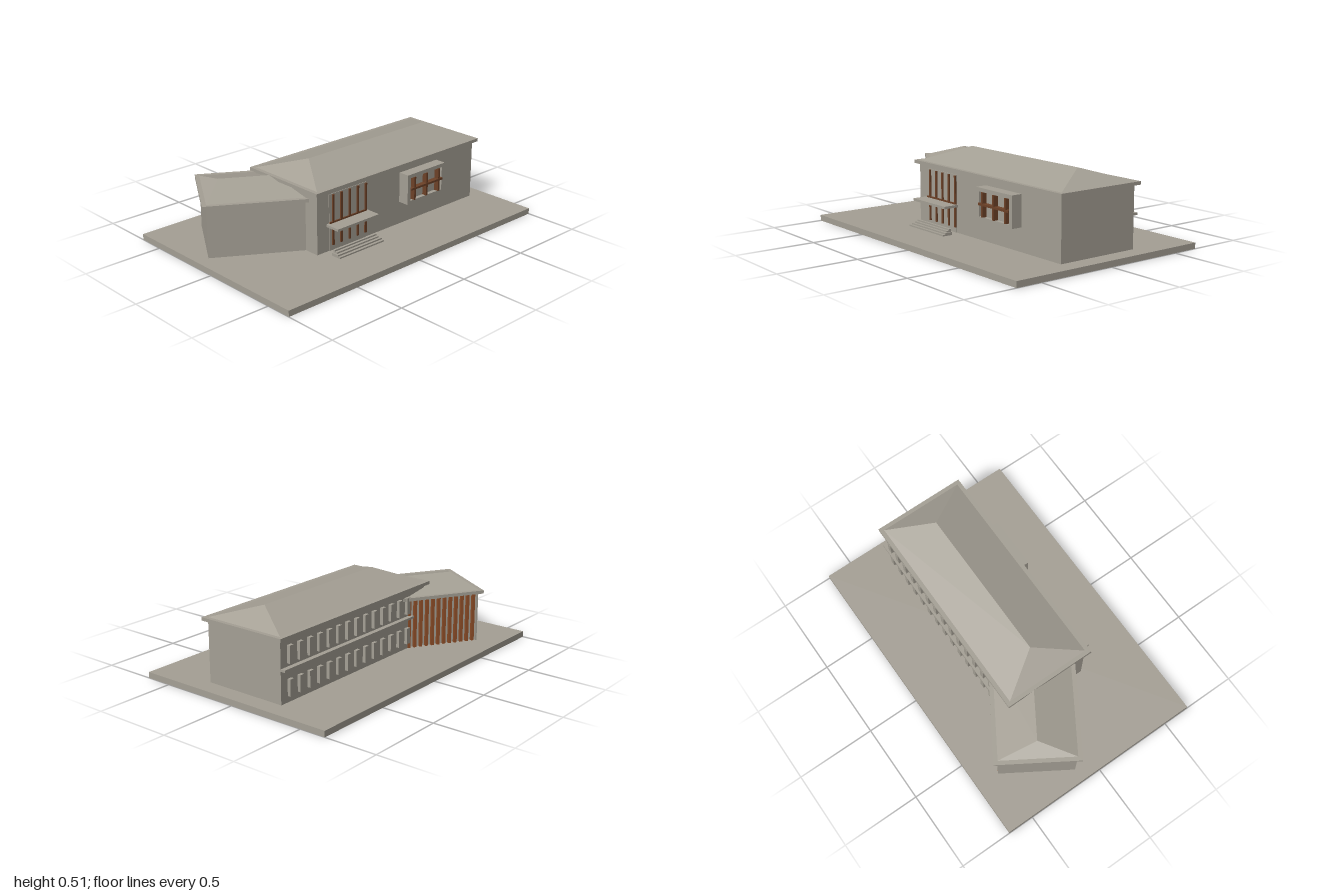
import * as THREE from 'three';

const mat = (name, color) => {
  const m = new THREE.MeshStandardMaterial({ color });
  m.name = name;
  return m;
};

// Box given by its min and max on each axis
function box(parent, name, material, [x0, x1], [y0, y1], [z0, z1]) {
  const mesh = new THREE.Mesh(new THREE.BoxGeometry(x1 - x0, y1 - y0, z1 - z0), material);
  mesh.position.set((x0 + x1) / 2, (y0 + y1) / 2, (z0 + z1) / 2);
  mesh.name = name;
  parent.add(mesh);
  return mesh;
}

// Hipped roof: rectangle x0..x1 by +-hz at y0, ridge r0..r1 at y1
function hipRoof(parent, name, material, x0, x1, hz, r0, r1, y0, y1) {
  const a = [x0, y0, hz], b = [x1, y0, hz], c = [x1, y0, -hz], d = [x0, y0, -hz];
  const e = [r0, y1, 0], f = [r1, y1, 0];
  const tris = [a, b, f, a, f, e, c, d, e, c, e, f, b, c, f, d, a, e];
  const geo = new THREE.BufferGeometry();
  geo.setAttribute('position', new THREE.Float32BufferAttribute(tris.flat(), 3));
  geo.computeVertexNormals();
  const mesh = new THREE.Mesh(geo, material);
  mesh.name = name;
  parent.add(mesh);
}

export function createModel() {
  const stone = mat('warm grey', 0xa5a095);
  const timber = mat('dark timber', 0x6e4228);
  const cedar = mat('cedar', 0x8f4e28);
  const model = new THREE.Group();
  model.name = 'building';
  const G = 0.037;

  box(model, 'groundSlab', stone, [-1, 1], [0, G], [-0.667, 0.667]);

  // Main block
  const main = new THREE.Group();
  main.name = 'mainBlock';
  model.add(main);
  box(main, 'mainWalls', stone, [-0.44, 0.89], [G, 0.41], [-0.27, 0.27]);
  box(main, 'mainEaves', stone, [-0.465, 0.915], [0.41, 0.43], [-0.295, 0.295]);
  hipRoof(main, 'mainRoof', stone, -0.44, 0.89, 0.27, -0.26, 0.715, 0.43, 0.513);

  // Two rows of rear pilasters with a ledge between the floors
  box(main, 'rearLedge', stone, [-0.3, 0.89], [0.232, 0.246], [-0.3, -0.27]);
  for (let i = 0; i < 14; i++) {
    const x = 0.82 - i * 0.083;
    for (const rows of [[0.075, 0.175], [0.265, 0.37]]) {
      box(main, 'rearPilaster', stone, [x - 0.016, x + 0.016], rows, [-0.29, -0.27]);
    }
  }

  // Entrance: timber posts, canopy and steps
  const entrance = new THREE.Group();
  entrance.name = 'entrance';
  model.add(entrance);
  box(entrance, 'entrancePanel', stone, [-0.35, -0.055], [G, 0.39], [0.27, 0.274]);
  for (let i = 0; i < 5; i++) {
    const x = -0.322 + i * 0.065;
    box(entrance, 'entrancePost', timber, [x - 0.007, x + 0.007], [0.07, 0.385], [0.27, 0.282]);
  }
  box(entrance, 'entranceRail', timber, [-0.35, -0.055], [0.21, 0.219], [0.27, 0.282]);
  box(entrance, 'canopy', stone, [-0.37, -0.043], [0.195, 0.21], [0.27, 0.37]);
  for (let i = 0; i < 4; i++) {
    const inset = i < 2 ? 0 : 0.01;
    box(entrance, 'step', stone, [-0.38 + inset, -0.025 - inset],
      [G + i * 0.009, G + (i + 1) * 0.009], [0.33, 0.395 - i * 0.017]);
  }

  // Projecting bay window
  const bay = new THREE.Group();
  bay.name = 'bayWindow';
  model.add(bay);
  const frame = new THREE.Shape();
  frame.moveTo(0.23, 0.18).lineTo(0.555, 0.18).lineTo(0.555, 0.37).lineTo(0.23, 0.37).closePath();
  const hole = new THREE.Path();
  hole.moveTo(0.255, 0.2).lineTo(0.255, 0.347).lineTo(0.53, 0.347).lineTo(0.53, 0.2).closePath();
  frame.holes.push(hole);
  const frameMesh = new THREE.Mesh(
    new THREE.ExtrudeGeometry(frame, { depth: 0.07, bevelEnabled: false }), stone);
  frameMesh.position.z = 0.27;
  frameMesh.name = 'bayFrame';
  bay.add(frameMesh);
  box(bay, 'bayPanel', stone, [0.25, 0.535], [0.195, 0.352], [0.27, 0.315]);
  for (const x of [0.288, 0.393, 0.5]) {
    box(bay, 'bayMullion', timber, [x - 0.007, x + 0.007], [0.2, 0.347], [0.315, 0.346]);
  }
  box(bay, 'bayTransom', timber, [0.255, 0.53], [0.268, 0.281], [0.315, 0.348]);

  // Angled wing, built along its own x axis
  const wing = new THREE.Group();
  wing.name = 'wing';
  wing.position.set(-0.8175, 0, -0.3375);
  wing.rotation.y = -32 * Math.PI / 180;
  model.add(wing);
  box(wing, 'wingWalls', stone, [0.025, 0.62], [G, 0.347], [-0.212, 0.232]);
  box(wing, 'wingEndPier', stone, [0.025, 0.035], [G, 0.347], [-0.232, -0.212]);
  box(wing, 'wingEaves', stone, [0, 0.62], [0.347, 0.367], [-0.257, 0.257]);
  hipRoof(wing, 'wingRoof', stone, 0.025, 0.62, 0.232, 0.115, 0.62, 0.367, 0.429);

  // Vertical cedar fins along the rear of the wing
  for (let i = 0; i < 12; i++) {
    const x = 0.045 + i * 0.039;
    box(wing, 'cedarFin', cedar, [x, x + 0.018], [G, 0.347], [-0.232, -0.212]);
  }
  return model;
}
